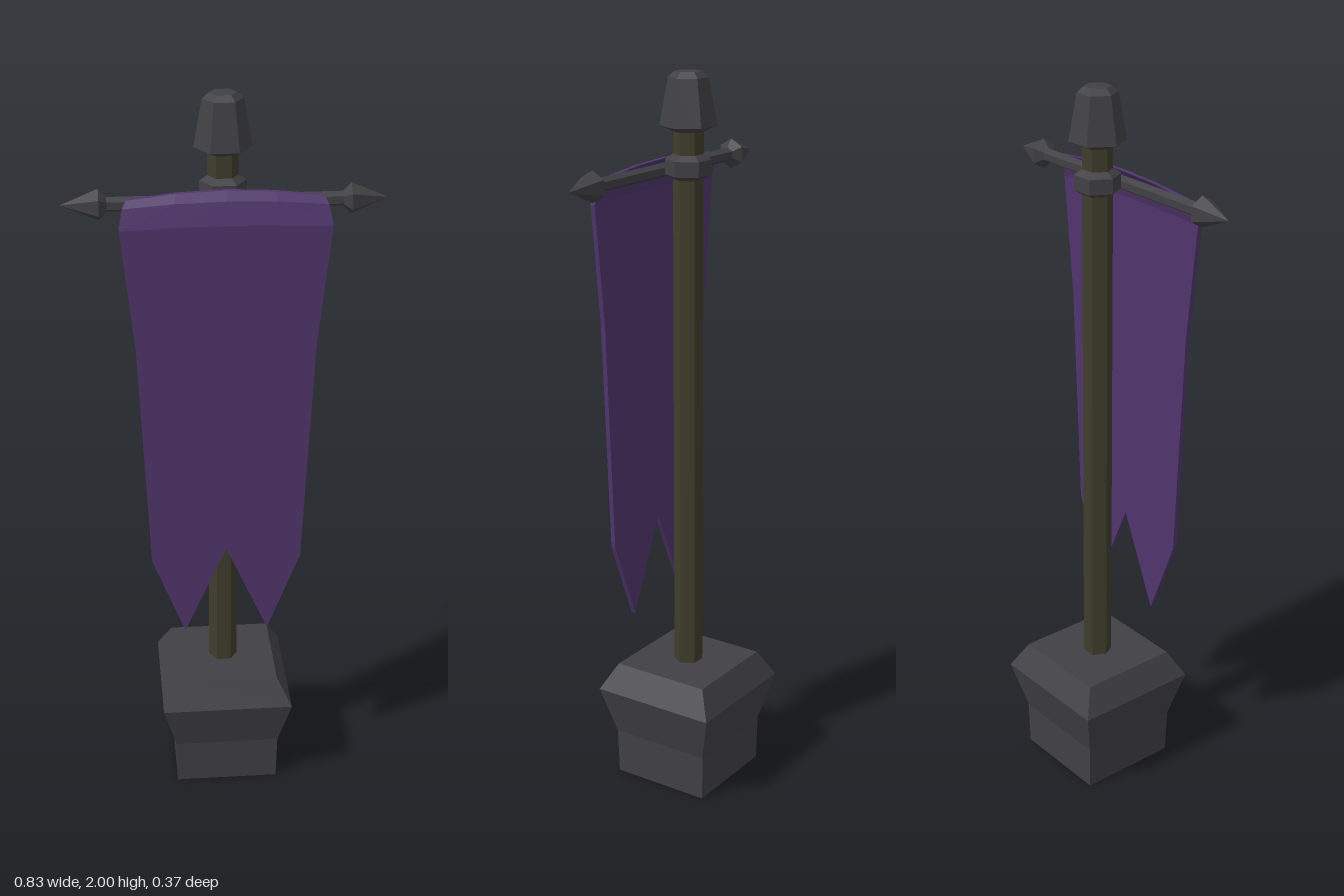
import * as THREE from 'three';

const flat = (name, color) => {
  const m = new THREE.MeshStandardMaterial({ color });
  m.name = name;
  m.flatShading = true;
  return m;
};

// Faceted solid turned from [radius, y] points, listed bottom to top
function turned(name, points, sides, material) {
  const geo = new THREE.LatheGeometry(points.map(([r, y]) => new THREE.Vector2(r, y)), sides);
  geo.rotateY(Math.PI / sides);
  const mesh = new THREE.Mesh(geo, material);
  mesh.name = name;
  return mesh;
}

// Cloth rows from the top: half width, y at edge, y halfway, y at middle, z of the front
const ROWS = [
  [0.25, 1.755, 1.768, 1.773, 0.087],
  [0.26, 1.737, 1.747, 1.75, 0.1],
  [0.27, 1.685, 1.69, 1.692, 0.116],
  [0.235, 1.36, 1.36, 1.36, 0.116],
  [0.205, 0.73, 0.5, 0.76, 0.116],
];

function bannerGeometry() {
  const n = ROWS.length - 1;
  const geo = new THREE.BoxGeometry(4, n, 1, 4, n, 1);
  const p = geo.attributes.position;
  for (let i = 0; i < p.count; i++) {
    const col = Math.round(p.getX(i)); // -2 to 2
    const row = Math.round(n / 2 - p.getY(i));
    const [w, yEdge, yHalf, yMid, z] = ROWS[row];
    const a = Math.abs(col);
    const half = row === n ? 0.115 : w / 2; // swallowtail points
    const x = Math.sign(col) * [0, half, w][a];
    const y = [yMid, yHalf, yEdge][a];
    const sag = row === 0 ? [-0.005, -0.003, 0][a] : 0;
    p.setXYZ(i, x, y, z + sag - (p.getZ(i) > 0 ? 0 : 0.013));
  }
  geo.computeVertexNormals();
  return geo;
}

export function createModel() {
  const stone = flat('dark grey', 0x414044);
  const wood = flat('dark olive', 0x3e3d2c);
  const cloth = flat('purple cloth', 0x50356c);
  const model = new THREE.Group();
  model.name = 'bannerStand';

  // Square flared foot
  const q = Math.SQRT2;
  model.add(turned('base', [[0, 0], [0.144 * q, 0], [0.147 * q, 0.13], [0.183 * q, 0.268],
    [0.143 * q, 0.343], [0, 0.343]], 4, stone));

  // Upright pole, collar and finial
  model.add(turned('pole', [[0.04, 0.3], [0.04, 1.88]], 6, wood));
  model.add(turned('collar', [[0.038, 1.722], [0.061, 1.735], [0.061, 1.775], [0.038, 1.79]], 6, stone));
  model.add(turned('finial', [[0.036, 1.845], [0.075, 1.862], [0.053, 1.985], [0.036, 2], [0, 2]], 6, stone));

  // Crossbar with a spear tip at each end
  const bar = new THREE.Group();
  bar.name = 'crossbar';
  bar.position.set(0, 1.742, 0.071);
  for (const side of [1, -1]) {
    const half = new THREE.Group();
    half.name = side > 0 ? 'leftArm' : 'rightArm';
    half.add(turned('rod', [[0.019, 0], [0.019, 0.31]], 6, stone));
    half.add(turned('spearTip', [[0.018, 0.297], [0.041, 0.318], [0, 0.415]], 6, stone));
    half.rotation.set(Math.PI / 2, 0, -side * Math.PI / 2, 'ZYX');
    // spin about its own axis so a corner points up
    half.rotation.set(0, 0, -side * Math.PI / 2);
    bar.add(half);
  }
  model.add(bar);

  // Hanging swallowtail cloth
  const banner = new THREE.Mesh(bannerGeometry(), cloth);
  banner.name = 'banner';
  model.add(banner);

  return model;
}
